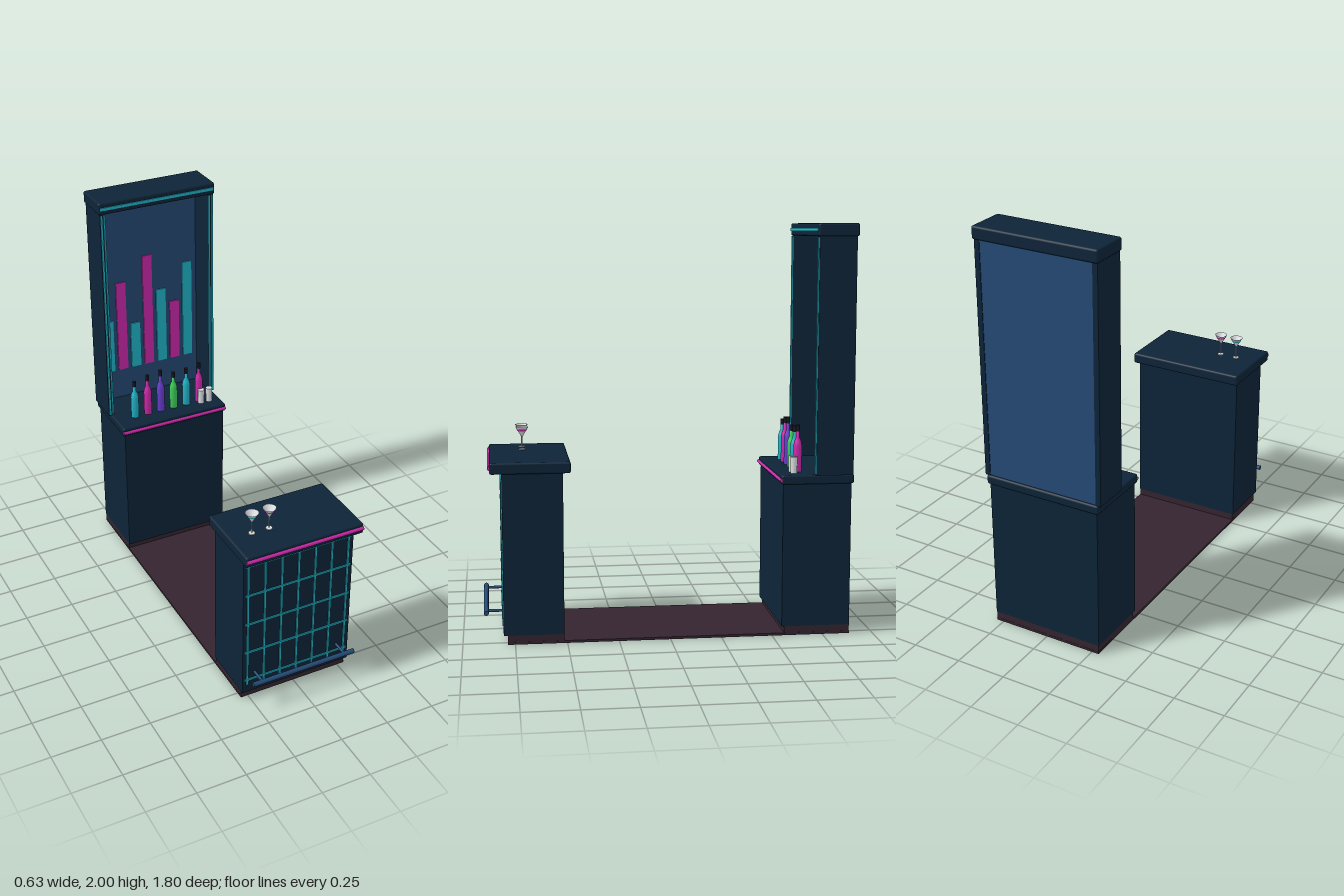
import * as THREE from 'three';
import { RoundedBoxGeometry } from 'three/addons/geometries/RoundedBoxGeometry.js';

const mat = (name, color, side = THREE.FrontSide) => {
  const m = new THREE.MeshStandardMaterial({ color, side });
  m.name = name;
  return m;
};

export function createModel() {
  const navy = mat('navy', 0x0d2438);
  const blue = mat('steelBlue', 0x244a75);
  const cyan = mat('cyan', 0x22b8cc);
  const pink = mat('magenta', 0xd02aae);
  const brown = mat('darkPlum', 0x34242f);
  const purple = mat('purple', 0x6a3fd0);
  const green = mat('green', 0x3fd05c);
  const glass = mat('glassWhite', 0xdcdfe2, THREE.DoubleSide);
  const black = mat('capBlack', 0x15151f);

  const model = new THREE.Group();
  model.name = 'cocktailBar';
  const group = (name) => {
    const g = new THREE.Group();
    g.name = name;
    model.add(g);
    return g;
  };
  const add = (parent, name, geometry, material, x = 0, y = 0, z = 0) => {
    const mesh = new THREE.Mesh(geometry, material);
    mesh.name = name;
    mesh.position.set(x, y, z);
    parent.add(mesh);
    return mesh;
  };
  // Box given by its minimum and maximum on each axis; r rounds the edges
  const box = (parent, name, material, [x0, x1], [y0, y1], [z0, z1], r = 0) => {
    const size = [x1 - x0, y1 - y0, z1 - z0];
    const g = r ? new RoundedBoxGeometry(...size, 2, r) : new THREE.BoxGeometry(...size);
    return add(parent, name, g, material, (x0 + x1) / 2, (y0 + y1) / 2, (z0 + z1) / 2);
  };
  const rod = (parent, name, material, length, r, axis, x, y, z) => {
    const g = new THREE.CylinderGeometry(r, r, length, 12);
    if (axis === 'x') g.rotateZ(Math.PI / 2);
    if (axis === 'z') g.rotateX(Math.PI / 2);
    return add(parent, name, g, material, x, y, z);
  };

  // Floor joining the two counters
  box(model, 'floor', brown, [-0.287, 0.287], [0, 0.012], [-0.885, 0.785]);

  // Front counter
  const front = group('frontCounter');
  box(front, 'frontPlinth', brown, [-0.286, 0.286], [0.012, 0.045], [0.515, 0.785]);
  box(front, 'frontBody', navy, [-0.29, 0.29], [0.045, 0.83], [0.515, 0.805]);
  box(front, 'frontTop', navy, [-0.307, 0.307], [0.83, 0.885], [0.478, 0.862], 0.01);
  rod(front, 'frontGlowStrip', pink, 0.608, 0.011, 'x', 0, 0.86, 0.86);

  // Glowing grid on the front face
  for (let i = -3; i <= 3; i++) {
    const x = i * 0.0883;
    box(front, 'gridUpright', cyan, [x - 0.005, x + 0.005], [0.09, 0.795], [0.804, 0.81]);
  }
  for (let i = 0; i < 5; i++) {
    const y = 0.12 + i * 0.168;
    box(front, 'gridBar', cyan, [-0.28, 0.28], [y - 0.005, y + 0.005], [0.804, 0.811]);
  }

  // Foot rail
  rod(front, 'footRail', blue, 0.55, 0.012, 'x', 0, 0.155, 0.886);
  for (const s of [-1, 1]) rod(front, 'railBracket', blue, 0.085, 0.007, 'z', s * 0.225, 0.155, 0.845);

  // Back counter
  const back = group('backCounter');
  box(back, 'backPlinth', brown, [-0.286, 0.286], [0.012, 0.045], [-0.884, -0.56]);
  box(back, 'backBody', navy, [-0.288, 0.288], [0.045, 0.75], [-0.884, -0.547]);
  box(back, 'backTop', navy, [-0.3, 0.3], [0.75, 0.796], [-0.895, -0.537], 0.01);
  rod(back, 'backGlowStrip', pink, 0.596, 0.009, 'x', 0, 0.77, -0.538);

  // Tall display cabinet
  const cabinet = group('displayCabinet');
  box(cabinet, 'backPanel', blue, [-0.286, 0.286], [0.796, 1.94], [-0.884, -0.862]);
  box(cabinet, 'crown', navy, [-0.317, 0.317], [1.938, 2], [-0.897, -0.698], 0.01);
  box(cabinet, 'crownGlowStrip', cyan, [-0.31, 0.31], [1.962, 1.977], [-0.702, -0.694]);
  for (const s of [-1, 1]) {
    const span = (a, b) => [s * a, s * b].sort((p, q) => p - q);
    box(cabinet, 'sidePanel', navy, span(0.284, 0.31), [0.794, 1.94], [-0.887, -0.704]);
    for (const x of [0.287, 0.303])
      box(cabinet, 'sideGlowStrip', cyan, span(x - 0.004, x + 0.004), [0.8, 1.935], [-0.705, -0.7]);
  }

  // Equaliser bars on the back panel
  [1.262, 1.475, 1.225, 1.6, 1.39, 1.305, 1.517].forEach((top, i) => {
    const x = (i - 3) * 0.0763;
    box(cabinet, 'equaliserBar', i % 2 ? pink : cyan, [x - 0.027, x + 0.027], [0.965, top], [-0.863, -0.856]);
  });

  // Bottles: body, shoulder and neck in one profile, then a dark cap
  const bottles = group('bottles');
  const bottle = (x, h, material) => {
    const profile = [[0, 0], [0.021, 0], [0.021, 0.56 * h], [0.017, 0.65 * h], [0.009, 0.73 * h],
      [0.008, 0.87 * h], [0, 0.87 * h]].map(([a, b]) => new THREE.Vector2(a, b));
    add(bottles, 'bottle', new THREE.LatheGeometry(profile, 14), material, x, 0.796, -0.637);
    const cap = new THREE.CylinderGeometry(0.0095, 0.0095, 0.14 * h, 12);
    add(bottles, 'bottleCap', cap, black, x, 0.796 + 0.93 * h, -0.637);
  };
  [[0.21, cyan], [0.23, pink], [0.24, purple], [0.21, green], [0.215, cyan], [0.23, pink]]
    .forEach(([h, m], i) => bottle(-0.188 + i * 0.0752, h, m));

  // Tumblers beside the bottles
  const glasses = group('glasses');
  for (const x of [0.188, 0.235])
    add(glasses, 'tumbler', new THREE.CylinderGeometry(0.018, 0.016, 0.08, 12), glass, x, 0.836, -0.609);

  // Stemmed cocktail glasses on the front counter
  [[-0.193, cyan], [-0.103, pink]].forEach(([x, drink]) => {
    const z = 0.697;
    add(glasses, 'glassFoot', new THREE.CylinderGeometry(0.016, 0.016, 0.004, 12), glass, x, 0.887, z);
    add(glasses, 'glassStem', new THREE.CylinderGeometry(0.0025, 0.0025, 0.066, 8), glass, x, 0.918, z);
    add(glasses, 'glassBowl', new THREE.CylinderGeometry(0.032, 0.002, 0.052, 14, 1, true), glass, x, 0.973, z);
    add(glasses, 'drinkBand', new THREE.CylinderGeometry(0.0265, 0.0205, 0.0104, 14, 1, true), drink, x, 0.983, z);
  });

  return model;
}
